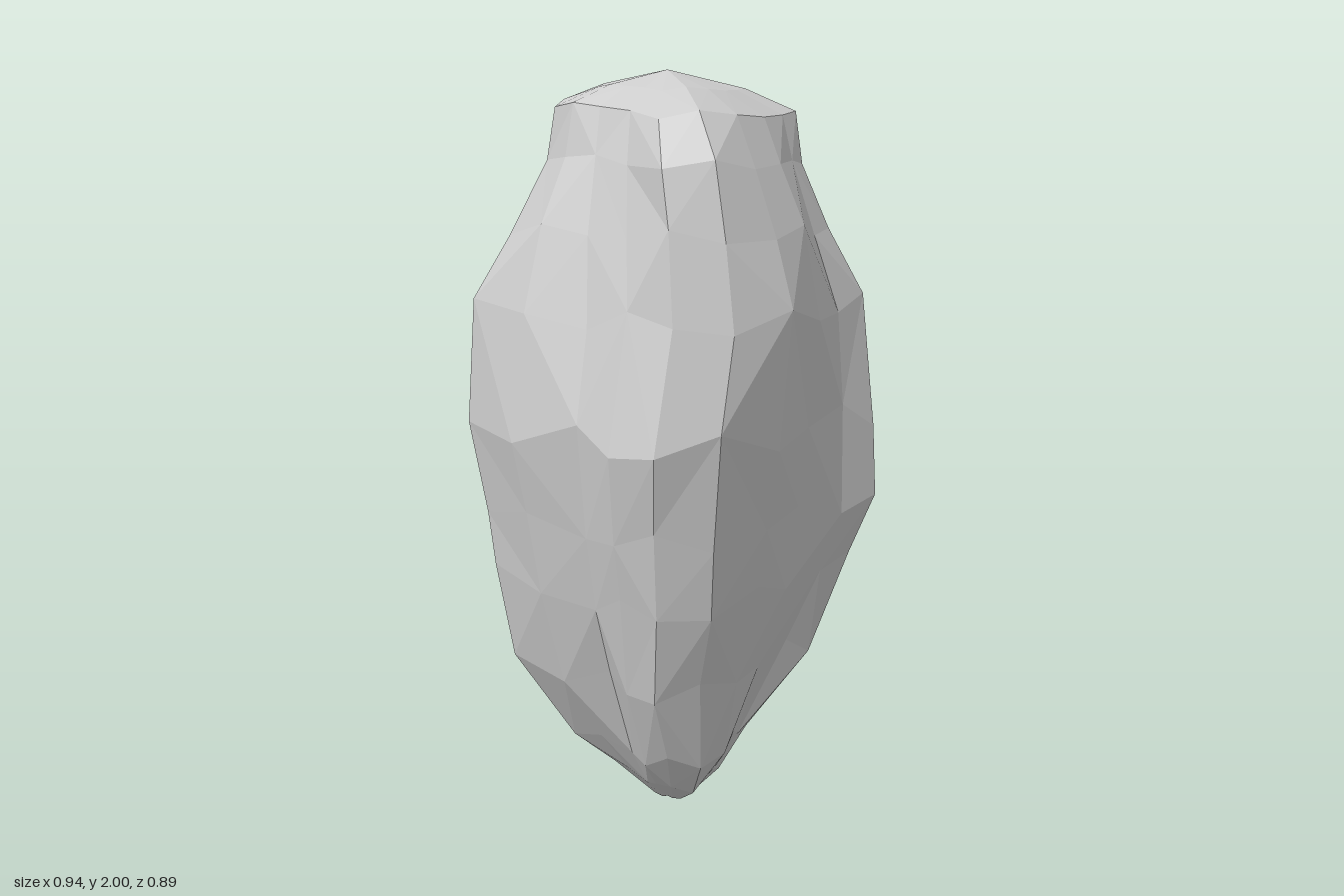
import * as THREE from 'three';

// Plan outline of the widest part, as [x, z], from the left side round by the back
const belly = [
  [-0.475, -0.11], [-0.42, -0.34], [-0.30, -0.425], [-0.20, -0.41], [-0.10, -0.39],
  [0.12, -0.45], [0.30, -0.41], [0.36, -0.36], [0.43, -0.24], [0.44, -0.07],
  [0.475, 0.09], [0.435, 0.26], [0.37, 0.40], [0.26, 0.38], [0.10, 0.41],
  [-0.06, 0.45], [-0.25, 0.42], [-0.37, 0.315], [-0.415, 0.20], [-0.42, 0.08],
];

// Rim round the blunt top, as [x, y, z]
const rim = [
  [-0.25, 1.92, -0.11], [-0.24, 1.91, -0.19], [-0.16, 1.93, -0.245], [-0.11, 1.94, -0.25], [-0.06, 1.95, -0.25],
  [0.06, 1.95, -0.24], [0.15, 1.96, -0.24], [0.19, 1.95, -0.21], [0.215, 1.92, -0.15], [0.25, 1.86, -0.05],
  [0.295, 1.81, 0.04], [0.22, 1.88, 0.15], [0.20, 1.90, 0.23], [0.13, 1.89, 0.245], [0.03, 1.885, 0.27],
  [-0.07, 1.89, 0.27], [-0.17, 1.90, 0.24], [-0.23, 1.88, 0.165], [-0.21, 1.90, 0.05], [-0.225, 1.91, -0.04],
];

// Levels: height, reach to -x, +x, -z, +z, share of the rim's shape, stagger,
// then how far each corner bulges (|x| + |z|): left back, right back, right front, left front
const levels = [
  [0.025, 0.07, 0.07, 0.07, 0.06, 0, 0.005, [0.10, 0.10, 0.09, 0.10]],
  [0.11, 0.15, 0.13, 0.16, 0.14, 0, 0.015, [0.24, 0.24, 0.20, 0.27]],
  [0.22, 0.23, 0.21, 0.24, 0.21, 0, 0.025, [0.40, 0.38, 0.28, 0.39]],
  [0.45, 0.33, 0.34, 0.32, 0.26, 0, 0.03, [0.63, 0.53, 0.53, 0.51]],
  [0.69, 0.40, 0.43, 0.37, 0.34, 0, 0.03, [0.69, 0.77, 0.68, 0.59]],
  [0.88, 0.44, 0.43, 0.41, 0.37, 0, 0.03, [0.71, 0.73, 0.77, 0.63]],
  [1.12, 0.475, 0.445, 0.445, 0.41, 0, 0.04, [0.77, 0.70, 0.75, 0.69]],
  [1.41, 0.41, 0.47, 0.39, 0.45, 0.2, 0.03, [0.74, 0.70, 0.69, 0.61]],
  [1.61, 0.35, 0.38, 0.35, 0.40, 0.5, 0.02, [0.60, 0.64, 0.55, 0.575]],
  [1.78, 0.285, 0.30, 0.285, 0.325, 0.8, 0.01, [0.46, 0.51, 0.45, 0.54]],
];

const mix = THREE.MathUtils.lerp;
const cornerOf = (x, z) => (z < 0 ? (x < 0 ? 0 : 1) : (x < 0 ? 3 : 2));

function ringAt([y, left, right, back, front, top, stagger, bulge]) {
  const plan = belly.map(([bx, bz], j) => {
    const [rx, , rz] = rim[j];
    const u = mix(bx / 0.475, rx / (rx < 0 ? 0.25 : 0.295), top);
    const v = mix(bz / 0.45, rz / (rz < 0 ? 0.25 : 0.27), top);
    return [u * (u < 0 ? left : right), v * (v < 0 ? back : front)];
  });
  const widest = [0, 0, 0, 0];
  for (const [x, z] of plan) {
    const c = cornerOf(x, z);
    widest[c] = Math.max(widest[c], Math.abs(x) + Math.abs(z));
  }
  // Push the corners in or out, leaving the middles of the sides alone
  return plan.map(([x, z], j) => {
    const c = cornerOf(x, z);
    const pull = Math.sin(2 * Math.atan2(z, x)) ** 2;
    const s = mix(1, bulge[c] / widest[c], pull);
    // Heights dip with the rim towards the top
    const dip = top > 0.7 ? 0.6 * (rim[j][1] - 1.9) : 0;
    return [x * s, y + dip + stagger * Math.sin(j * 2.2 + y * 9), z * s];
  });
}

export function createModel() {
  const foot = [0, 0, 0], crown = [-0.05, 2, 0.02];
  const rings = levels.map(ringAt);
  rings.push(rim);
  // Shoulder between the rim and the crown
  rings.push(rim.map(([x, y, z]) => [mix(crown[0], x, 0.6), mix(crown[1], y, 0.45), mix(crown[2], z, 0.6)]));

  const count = belly.length;
  const positions = [];
  const tri = (a, b, c) => positions.push(...a, ...b, ...c);
  // Distance of an edge's middle from the heart of the rock
  const spread = (p, q) => Math.hypot(p[0] + q[0], p[1] + q[1] - 2, p[2] + q[2]);
  for (let i = 0; i < rings.length - 1; i++) {
    for (let j = 0; j < count; j++) {
      const k = (j + 1) % count;
      const a = rings[i][j], b = rings[i + 1][j], c = rings[i + 1][k], d = rings[i][k];
      // Split each facet along its outer diagonal
      if (spread(a, c) > spread(b, d)) {
        tri(a, b, c);
        tri(a, c, d);
      } else {
        tri(a, b, d);
        tri(b, c, d);
      }
    }
  }
  // Close the foot and the blunt top
  const last = rings[rings.length - 1];
  for (let j = 0; j < count; j++) {
    const k = (j + 1) % count;
    tri(foot, rings[0][j], rings[0][k]);
    tri(crown, last[k], last[j]);
  }

  const geometry = new THREE.BufferGeometry();
  geometry.setAttribute('position', new THREE.Float32BufferAttribute(positions, 3));
  geometry.computeVertexNormals();
  const material = new THREE.MeshStandardMaterial({ color: 0xcccccc, flatShading: true });
  const rock = new THREE.Mesh(geometry, material);
  rock.name = 'rock';

  const group = new THREE.Group();
  group.name = 'tallRock';
  group.add(rock);
  return group;
}
